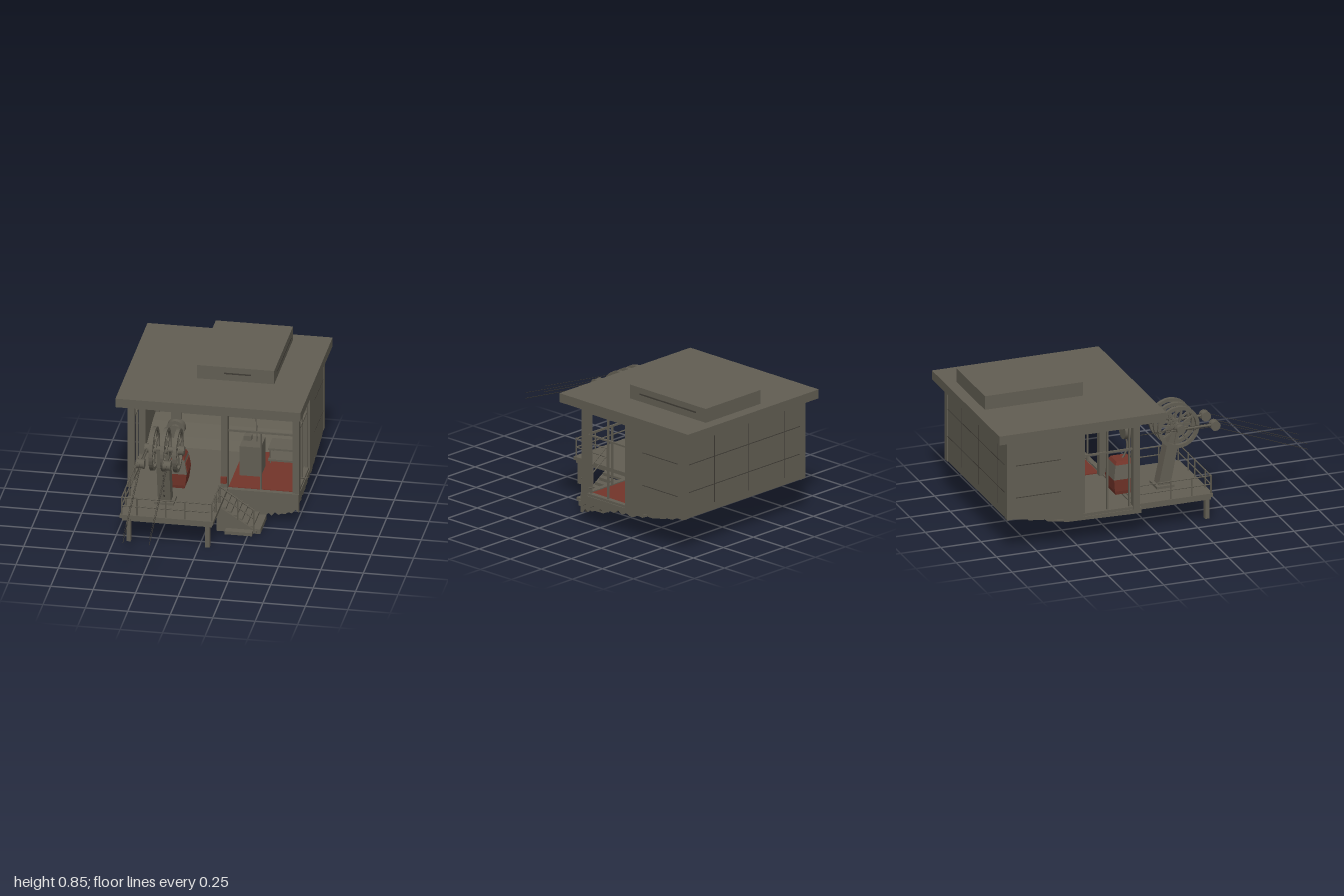
import * as THREE from 'three';

const mat = (name, color) => {
  const m = new THREE.MeshStandardMaterial({ color });
  m.name = name;
  return m;
};

export function createModel() {
  const grey = mat('weathered grey', 0x625e53);
  const red = mat('rust red', 0x74352a);
  const dark = mat('dark seam', 0x3f3c35);
  const root = new THREE.Group();
  root.name = 'cableStation';

  const add = (name, geo, m = grey, parent = root) => {
    const mesh = new THREE.Mesh(geo, m);
    mesh.name = name;
    parent.add(mesh);
    return mesh;
  };
  // box given by its limits
  const box = (name, x0, x1, y0, y1, z0, z1, m = grey) => {
    const mesh = add(name, new THREE.BoxGeometry(x1 - x0, y1 - y0, z1 - z0), m);
    mesh.position.set((x0 + x1) / 2, (y0 + y1) / 2, (z0 + z1) / 2);
    return mesh;
  };
  // straight round bar between two points
  const bar = (name, a, b, r, m = grey, sides = 6) => {
    const p = new THREE.Vector3(...a), q = new THREE.Vector3(...b);
    const mesh = add(name, new THREE.CylinderGeometry(r, r, p.distanceTo(q), sides), m);
    mesh.position.copy(p).add(q).multiplyScalar(0.5);
    mesh.quaternion.setFromUnitVectors(new THREE.Vector3(0, 1, 0), q.sub(p).normalize());
    return mesh;
  };
  const extrude = (pts, depth) => new THREE.ExtrudeGeometry(
    new THREE.Shape(pts.map(p => new THREE.Vector2(...p))), { depth, bevelEnabled: false });
  // outline in (z, y), extruded from x0 to x1
  const sideProfile = (name, pts, x0, x1, m = grey) => {
    const g = extrude(pts.map(([z, y]) => [-z, y]), x1 - x0);
    g.rotateY(Math.PI / 2).translate(x0, 0, 0);
    return add(name, g, m);
  };
  // outline in (x, y), extruded from z0 to z1
  const frontProfile = (name, pts, z0, z1, m = grey) =>
    add(name, extrude(pts, z1 - z0).translate(0, 0, z0), m);
  // ragged edge from a to b
  const ragged = (a, b, n, amp) => Array.from({ length: n + 1 }, (_, i) => {
    const t = i / n, up = (i % 2) * amp * (0.6 + 0.4 * Math.sin(i * 2.3));
    return [a[0] + (b[0] - a[0]) * t, a[1] + (b[1] - a[1]) * t + up];
  });

  // roof and raised roof hatch
  box('roof', -0.545, 0.545, 0.71, 0.765, -1, 0.035);
  box('roofHatch', -0.13, 0.325, 0.765, 0.85, -0.93, -0.32);
  box('hatchVent', 0.03, 0.19, 0.807, 0.815, -0.32, -0.316, dark);
  box('hatchVent', 0.325, 0.329, 0.807, 0.815, -0.85, -0.4, dark);

  // floor slab with stepped underside
  sideProfile('floorSlab', [[-0.1, 0.168], [-0.1, 0.14], [-0.55, 0.15], [-0.68, 0.17], [-0.7, 0.185],
    [-0.8, 0.195], [-0.82, 0.215], [-0.93, 0.225], [-0.93, 0.25], [-0.82, 0.235], [-0.7, 0.2], [-0.62, 0.168]], -0.5, 0.51);
  box('redFloor', 0.09, 0.47, 0.168, 0.174, -0.66, -0.14, red);

  // ragged footing at the right side and front
  sideProfile('raggedSideFooting', [[-0.11, 0.17],
    ...ragged([-0.11, 0.095], [-0.5, 0.13], 12, 0.022), ...ragged([-0.52, 0.13], [-0.92, 0.21], 10, 0.012),
    [-0.93, 0.24], [-0.62, 0.17]], 0.485, 0.51);
  frontProfile('raggedFrontFooting', [[0.05, 0.168], [0.05, 0.01], [0.29, 0.01],
    ...ragged([0.31, 0.02], [0.51, 0.06], 10, 0.022), [0.51, 0.168]], -0.12, -0.1);

  // walls, posts and beams
  box('backWall', -0.5, 0.51, 0.215, 0.71, -0.93, -0.91);
  for (const [x0, x1, out] of [[-0.5, -0.48, -1], [0.49, 0.51, 1]]) {
    sideProfile('sideWall', [[-0.49, 0.71], [-0.49, 0.155], [-0.7, 0.185], [-0.93, 0.22], [-0.93, 0.71]], x0, x1);
    const xm = out < 0 ? -0.48 : 0.49;
    box('frontCornerPost', xm - 0.02, xm + 0.02, 0.15, 0.71, -0.15, -0.11);
    box('windowPost', xm - 0.02, xm + 0.021, 0.16, 0.71, -0.5, -0.46);
    box('backCornerPost', xm - 0.022, xm + 0.022, 0.215, 0.71, -0.935, -0.9);
    box('sideHeader', xm - 0.02, xm + 0.02, 0.68, 0.71, -0.92, -0.11);
    box('sideSill', xm - 0.015, xm + 0.015, 0.165, 0.185, -0.5, -0.12);
    box('windowBar', xm - 0.006, xm + 0.006, 0.536, 0.546, -0.48, -0.12);
    for (const z of [-0.168, -0.305, -0.452])
      box('windowMullion', xm - 0.006, xm + 0.006, 0.17, 0.69, z - 0.005, z + 0.005);
    const xs = out < 0 ? -0.502 : 0.51;
    for (const y of [0.345, 0.545])
      box('panelSeam', xs, xs + 0.002, y, y + 0.004, -0.88, -0.6, dark);
  }
  box('frontMiddlePost', 0.05, 0.09, 0.15, 0.71, -0.15, -0.11);
  box('frontHeader', -0.5, 0.51, 0.67, 0.71, -0.15, -0.11);
  box('frontSill', -0.5, 0.51, 0.15, 0.175, -0.13, -0.1);
  box('frontWindowBar', 0.09, 0.47, 0.532, 0.544, -0.14, -0.13);
  box('frontMullion', 0.276, 0.286, 0.17, 0.54, -0.14, -0.13);

  // wall panel joints outside and inside
  for (const y of [0.37, 0.54]) box('backSeam', -0.47, 0.48, y, y + 0.004, -0.932, -0.93, dark);
  for (const x of [-0.33, -0.03, 0.25]) box('backSeam', x, x + 0.004, 0.26, 0.67, -0.932, -0.93, dark);
  box('innerWallRail', -0.48, 0.49, 0.53, 0.545, -0.91, -0.895);
  box('innerWallRail', -0.48, 0.49, 0.315, 0.32, -0.91, -0.908, dark);
  for (const x of [-0.33, -0.04, 0.09]) box('innerSeam', x, x + 0.004, 0.25, 0.67, -0.91, -0.908, dark);

  // control room furniture
  box('console', 0.125, 0.25, 0.17, 0.36, -0.45, -0.3);
  box('consoleScreen', 0.135, 0.18, 0.36, 0.39, -0.42, -0.38);
  bar('consoleLever', [0.215, 0.36, -0.38], [0.205, 0.5, -0.4], 0.004);
  box('wallLocker', 0.41, 0.485, 0.34, 0.43, -0.62, -0.5);
  box('wallCabinet', 0.22, 0.315, 0.55, 0.67, -0.91, -0.84);
  box('benchSeat', 0.26, 0.45, 0.262, 0.274, -0.62, -0.48);
  box('benchShelf', 0.26, 0.45, 0.192, 0.204, -0.6, -0.48);
  for (const x of [0.27, 0.44]) for (const z of [-0.6, -0.5]) bar('benchLeg', [x, 0.168, z], [x, 0.265, z], 0.005);
  box('redSwitchBox', 0.05, 0.085, 0.21, 0.25, -0.11, -0.095, red);
  bar('sidePipe', [0.5, 0.233, -0.2], [0.545, 0.24, -0.2], 0.004);

  // deck with legs
  box('deck', -0.46, 0.09, 0.158, 0.18, -0.11, 0.36);
  box('deckFrontBeam', -0.45, 0.08, 0.14, 0.16, 0.325, 0.35);
  for (const x of [-0.44, 0.06]) box('deckSideBeam', x - 0.01, x + 0.01, 0.14, 0.16, -0.1, 0.34);
  for (const x of [-0.41, 0.055]) {
    box('deckLeg', x - 0.013, x + 0.013, 0.01, 0.16, 0.325, 0.352);
  }

  // deck railing
  for (const y of [0.235, 0.288]) {
    bar('frontRail', [-0.45, y, 0.35], [0.08, y, 0.35], 0.004);
    bar('leftRail', [-0.45, y, 0.35], [-0.45, y, -0.11], 0.004);
    bar('rightRail', [0.08, y, 0.35], [0.08, y, 0.1], 0.004);
  }
  for (const x of [-0.45, -0.36, -0.19, -0.08, 0.08]) bar('railPost', [x, 0.17, 0.35], [x, 0.292, 0.35], 0.005);
  for (const z of [0.23, 0.1]) for (const x of [-0.45, 0.08]) bar('railPost', [x, 0.17, z], [x, 0.292, z], 0.005);

  // stairs descending to the left of the deck
  const steps = 7;
  for (let i = 0; i < steps; i++) {
    const x = 0.08 + i * 0.032, y = 0.152 - i * 0.021;
    box('stairTread', x, x + 0.038, y - 0.012, y, -0.1, 0.1);
    box('stairRiser', x, x + 0.006, y - 0.03, y, -0.1, 0.1);
  }
  for (const z of [-0.1, 0.1])
    frontProfile('stairStringer', [[0.065, 0.005], [0.3, 0.005], [0.3, 0.02], [0.085, 0.155], [0.065, 0.155]], z, z + 0.01);
  box('stairFoot', 0.065, 0.32, 0, 0.03, -0.1, 0.1);
  box('stairFootCurb', 0.12, 0.28, 0.008, 0.028, 0.1, 0.155);
  bar('stairHandrail', [0.085, 0.29, 0.11], [0.285, 0.155, 0.11], 0.005);
  bar('stairMidRail', [0.085, 0.235, 0.11], [0.285, 0.1, 0.11], 0.004);
  for (const [x, y] of [[0.19, 0.085], [0.283, 0.02]]) bar('stairRailPost', [x, y, 0.11], [x, y + 0.135, 0.11], 0.005);

  // leaning pylon carrying the cable wheels
  sideProfile('pylon', [[0.09, 0.175], [0.165, 0.175], [0.215, 0.43], [0.225, 0.55], [0.19, 0.55], [0.145, 0.43]], -0.27, -0.195);
  box('pylonFoot', -0.29, -0.175, 0.178, 0.195, 0.075, 0.185);
  for (let i = 0; i < 5; i++) {
    const y = 0.23 + i * 0.035, z = 0.166 + (y - 0.175) * 0.196;
    box('pylonRivet', -0.237, -0.228, y, y + 0.012, z - 0.01, z + 0.003, dark);
  }
  const axle = bar('wheelAxle', [-0.34, 0.55, 0.21], [-0.105, 0.55, 0.21], 0.016, grey, 12);
  for (const x of [-0.325, -0.12]) bar('axleHub', [x - 0.014, 0.55, 0.21], [x + 0.014, 0.55, 0.21], 0.027, grey, 12);
  for (const x of [-0.285, -0.217, -0.145]) {
    const wheel = new THREE.Group();
    wheel.name = 'cableWheel';
    wheel.position.set(x, 0.55, 0.21);
    wheel.rotation.y = Math.PI / 2;
    root.add(wheel);
    const rim = new THREE.Shape().absarc(0, 0, 0.129, 0, Math.PI * 2);
    rim.holes.push(new THREE.Path().absarc(0, 0, 0.108, 0, Math.PI * 2, true));
    add('wheelRim', new THREE.ExtrudeGeometry(rim, { depth: 0.022, bevelEnabled: false, curveSegments: 16 })
      .translate(0, 0, -0.011), grey, wheel);
    add('wheelHub', new THREE.CylinderGeometry(0.028, 0.028, 0.03, 12).rotateX(Math.PI / 2), grey, wheel);
    for (let i = 0; i < 4; i++)
      add('wheelSpokes', new THREE.BoxGeometry(0.22, 0.011, 0.01).rotateZ(i * Math.PI / 4 + 0.2), grey, wheel);
  }

  // guide rollers and cables
  for (const x of [-0.325, -0.17]) {
    bar('rollerArm', [x, 0.55, 0.2], [x, 0.55, 0.42], 0.008);
    bar('guideRoller', [x - 0.018, 0.548, 0.42], [x + 0.018, 0.548, 0.42], 0.027, grey, 12);
    for (const s of [-1, 1])
      bar('rollerFlange', [x + s * 0.02 - 0.003, 0.548, 0.42], [x + s * 0.02 + 0.003, 0.548, 0.42], 0.03, grey, 12);
    bar('lowerCable', [x, 0.535, 0.42], [x, 0.31, 1], 0.0018, dark, 5);
    bar('upperCable', [x, 0.565, 0.42], [x, 0.345, 1], 0.0012, dark, 5);
    for (const y of [0.535, 0.562]) bar('innerCable', [x, y, 0.42], [x, 0.55, -0.06], 0.0015, dark, 5);
  }

  // drive drum hung from the roof edge
  bar('driveDrum', [-0.21, 0.55, -0.11], [-0.21, 0.55, -0.06], 0.055, grey, 18);
  bar('drumCap', [-0.21, 0.55, -0.06], [-0.21, 0.55, -0.04], 0.035, grey, 14);
  box('drumHanger', -0.24, -0.18, 0.6, 0.71, -0.11, -0.09);
  box('roofBracket', -0.27, -0.15, 0.685, 0.71, -0.1, -0.06);
  const arm = new THREE.CatmullRomCurve3([[0.5, -0.085], [0.44, -0.08], [0.4, -0.095], [0.37, -0.115]]
    .map(([y, z]) => new THREE.Vector3(-0.215, y, z)));
  add('cabinHanger', new THREE.TubeGeometry(arm, 12, 0.006, 6));

  // hanging cabin: bulged box in stacked bands
  const band = (name, y0, r0, y1, r1, m) => {
    const g = new THREE.CylinderGeometry(r1 * Math.SQRT2, r0 * Math.SQRT2, y1 - y0, 4).rotateY(Math.PI / 4).toNonIndexed();
    g.computeVertexNormals();
    add(name, g, m).position.set(-0.215, (y0 + y1) / 2, -0.115);
  };
  band('cabinBase', 0.178, 0.06, 0.2, 0.066, red);
  band('cabinLower', 0.2, 0.066, 0.275, 0.075, red);
  band('cabinUpper', 0.275, 0.075, 0.36, 0.06, grey);
  band('cabinTop', 0.36, 0.06, 0.38, 0.05, red);
  box('cabinSidePanel', -0.15, -0.142, 0.28, 0.34, -0.17, -0.06, red).rotation.z = 0.17;

  return root;
}
